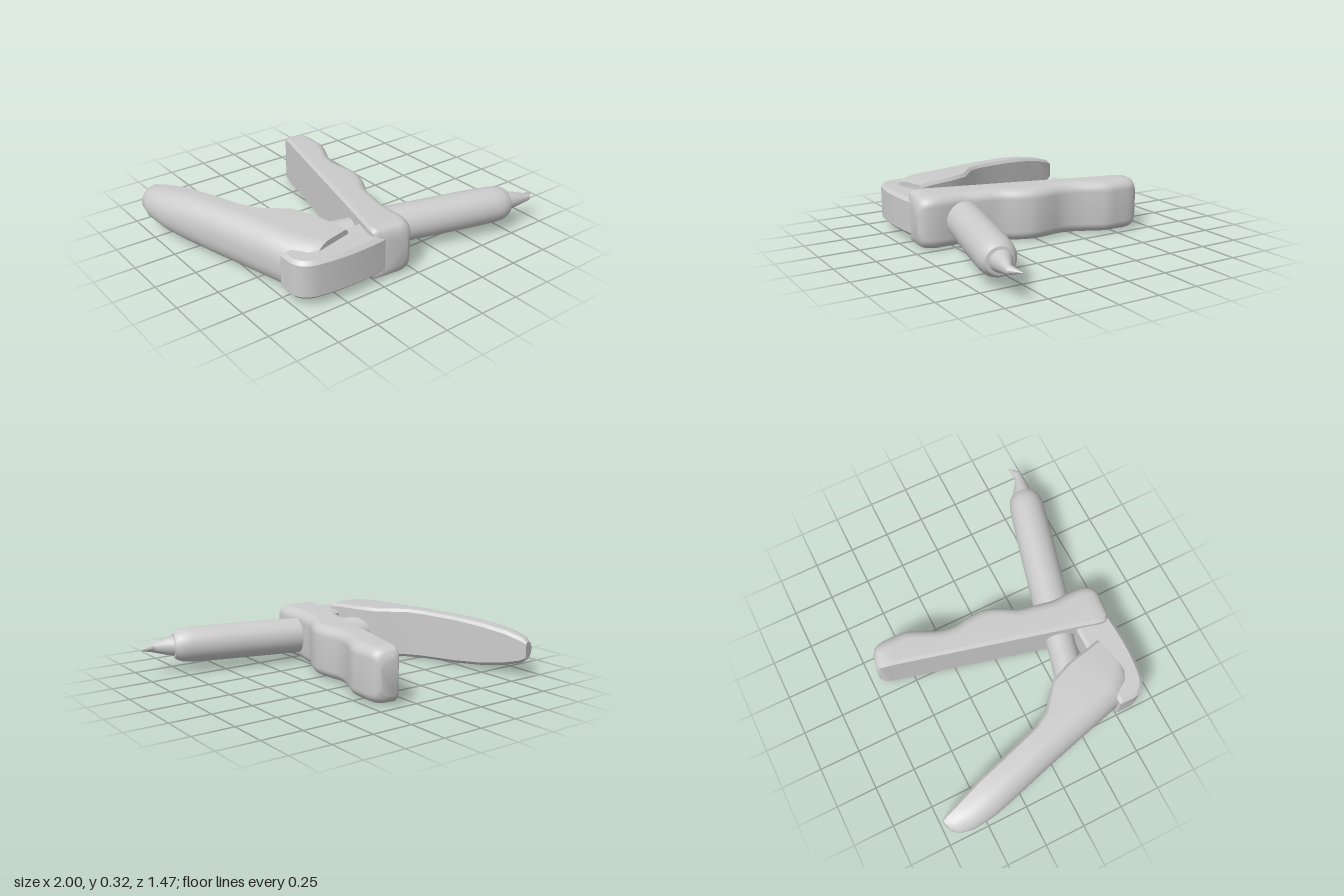
import * as THREE from 'three';
import { toCreasedNormals } from 'three/addons/utils/BufferGeometryUtils.js';

const MID = 0.16; // height of the symmetry plane
const material = new THREE.MeshStandardMaterial({ color: 0xcccccc });

function addMesh(group, name, geometry) {
  const mesh = new THREE.Mesh(geometry, material);
  mesh.name = name;
  group.add(mesh);
  return mesh;
}

// Cross-section over width w and half height h: rounded outer side, small chamfer on the inner side
function gripSection(w, h, rx, ry) {
  const pts = [];
  const a = Math.min(rx, w * 0.7), b = Math.min(ry, h * 0.95);
  const c = Math.min(0.018, w * 0.15), n = 8;
  for (let k = 0; k <= n; k++) {
    const t = (k / n) * Math.PI / 2;
    pts.push([a - a * Math.cos(t), h - b + b * Math.sin(t)]);
  }
  pts.push([w - c, h], [w, h - c]);
  return [...pts, ...pts.slice().reverse().map(([u, y]) => [u, -y])];
}

function ovalSection(w, h) {
  return Array.from({ length: 24 }, (_, k) => {
    const t = (k / 24) * Math.PI * 2;
    return [w / 2 - (w / 2) * Math.cos(t), h * Math.sin(t)];
  });
}

// Skin a body over stations [outerX, outerZ, innerX, innerZ, halfHeight]
function loft(stations, section, crease) {
  const pos = [], index = [];
  let n = 0;
  for (const [ox, oz, ix, iz, h] of stations) {
    const w = Math.hypot(ix - ox, iz - oz);
    const ring = section(w, h);
    n = ring.length;
    for (const [u, y] of ring) pos.push(ox + (ix - ox) * u / w, MID + y, oz + (iz - oz) * u / w);
  }
  const last = stations.length - 1;
  for (let s = 0; s < last; s++) {
    for (let k = 0; k < n; k++) {
      const a = s * n + k, b = s * n + (k + 1) % n;
      index.push(a, b, a + n, b, b + n, a + n);
    }
  }
  // End caps
  for (let k = 1; k < n - 1; k++) {
    index.push(0, k + 1, k, last * n, last * n + k, last * n + k + 1);
  }
  // Turn the faces outward when the enclosed volume is negative
  let volume = 0;
  const v = (i) => new THREE.Vector3(pos[i * 3], pos[i * 3 + 1], pos[i * 3 + 2]);
  for (let f = 0; f < index.length; f += 3) {
    volume += v(index[f]).dot(v(index[f + 1]).cross(v(index[f + 2])));
  }
  if (volume < 0) index.reverse();
  const geometry = new THREE.BufferGeometry();
  geometry.setAttribute('position', new THREE.Float32BufferAttribute(pos, 3));
  geometry.setIndex(index);
  return toCreasedNormals(geometry, crease);
}

// Insert smooth in-between stations
function refine(stations, steps) {
  const spline = (a, b) => new THREE.SplineCurve(stations.map((s) => new THREE.Vector2(s[a], s[b])));
  const outer = spline(0, 1), inner = spline(2, 3), height = spline(4, 4);
  const count = (stations.length - 1) * steps;
  return Array.from({ length: count + 1 }, (_, k) => {
    const o = outer.getPoint(k / count), i = inner.getPoint(k / count);
    return [o.x, o.y, i.x, i.y, height.getPoint(k / count).x];
  });
}

export function createModel() {
  const model = new THREE.Group();
  model.name = 'foldingHandTool';

  // Grip handle: straight inner edge, wavy finger grooves outside
  const innerX = (z) => -0.265 + (0.64 - z) * 0.254;
  const waves = [
    [0.0, 0.63], [0.005, 0.54], [0.003, 0.44], [0.025, 0.33], [0.05, 0.22], [0.105, 0.12],
    [0.137, 0.03], [0.135, -0.07], [0.122, -0.17], [0.14, -0.27], [0.185, -0.37],
    [0.22, -0.45], [0.225, -0.53], [0.225, -0.61],
  ];
  const handle = [
    [-0.06, 0.716, -0.18, 0.7, 0.1],
    [-0.025, 0.695, -0.25, 0.675, 0.145],
    ...waves.map(([x, z]) => [x, z, innerX(z), z, 0.16]),
    [0.212, -0.655, 0.07, -0.675, 0.148],
    [0.19, -0.678, 0.095, -0.7, 0.11],
  ];
  addMesh(model, 'gripHandle', loft(refine(handle, 3), (w, h) => gripSection(w, h, 0.07, 0.06), 0.6));

  // Lever: rounded back, height tapering to the tip
  const lever = [
    [-0.955, -0.71, -0.88, -0.735, 0.055],
    [-0.985, -0.67, -0.86, -0.7, 0.08],
    [-1.0, -0.59, -0.83, -0.6, 0.108],
    [-0.985, -0.45, -0.778, -0.45, 0.133],
    [-0.945, -0.3, -0.73, -0.28, 0.148],
    [-0.873, -0.05, -0.655, -0.03, 0.157],
    [-0.83, 0.11, -0.6, 0.07, 0.16],
    [-0.775, 0.32, -0.455, 0.19, 0.16],
    [-0.725, 0.51, -0.4, 0.32, 0.16],
    [-0.67, 0.595, -0.365, 0.48, 0.157],
    [-0.625, 0.617, -0.348, 0.55, 0.15],
  ];
  addMesh(model, 'lever', loft(lever, (w, h) => gripSection(w, h, 0.13, 0.14), 0.6));

  // Link plate joining lever and handle
  const b = 0.02;
  const plate = new THREE.Shape();
  plate.moveTo(-0.73, 0.51);
  plate.lineTo(-0.73, 0.58);
  plate.quadraticCurveTo(-0.72, 0.655, -0.63, 0.67);
  plate.quadraticCurveTo(-0.4, 0.71, -0.1, 0.66);
  plate.lineTo(-0.1, 0.5);
  plate.lineTo(-0.68, 0.5);
  const plateGeometry = new THREE.ExtrudeGeometry(plate, {
    depth: 0.19, bevelEnabled: true, bevelSize: b, bevelThickness: b, bevelSegments: 1, curveSegments: 10,
  });
  plateGeometry.rotateX(Math.PI / 2).translate(0, MID + 0.095, 0);
  addMesh(model, 'linkPlate', toCreasedNormals(plateGeometry, 0.5));

  // Barrel crossing the handle, with a thinner rear rod and a rounded nose
  const profile = [
    [0, -0.52], [0.088, -0.52], [0.088, -0.06], [0.112, -0.05], [0.113, 0.5], [0.11, 0.7],
    [0.105, 0.75], [0.094, 0.785], [0.078, 0.808], [0.06, 0.812], [0, 0.812],
  ].map(([r, y]) => new THREE.Vector2(r, y));
  const barrel = addMesh(model, 'barrel', toCreasedNormals(new THREE.LatheGeometry(profile, 40), 0.6));
  barrel.position.set(0, MID, 0.44);
  barrel.quaternion.setFromUnitVectors(
    new THREE.Vector3(0, 1, 0), new THREE.Vector3(0.967, 0, 0.256).normalize());

  // Bent, slanted tip
  const tip = [
    [0.765, 0.705, 0.8, 0.58, 0.062],
    [0.815, 0.702, 0.835, 0.6, 0.053],
    [0.94, 0.706, 0.905, 0.65, 0.026],
    [1.0, 0.646, 0.998, 0.644, 0.002],
  ];
  addMesh(model, 'tip', loft(tip, ovalSection, 0.6));

  return model;
}
